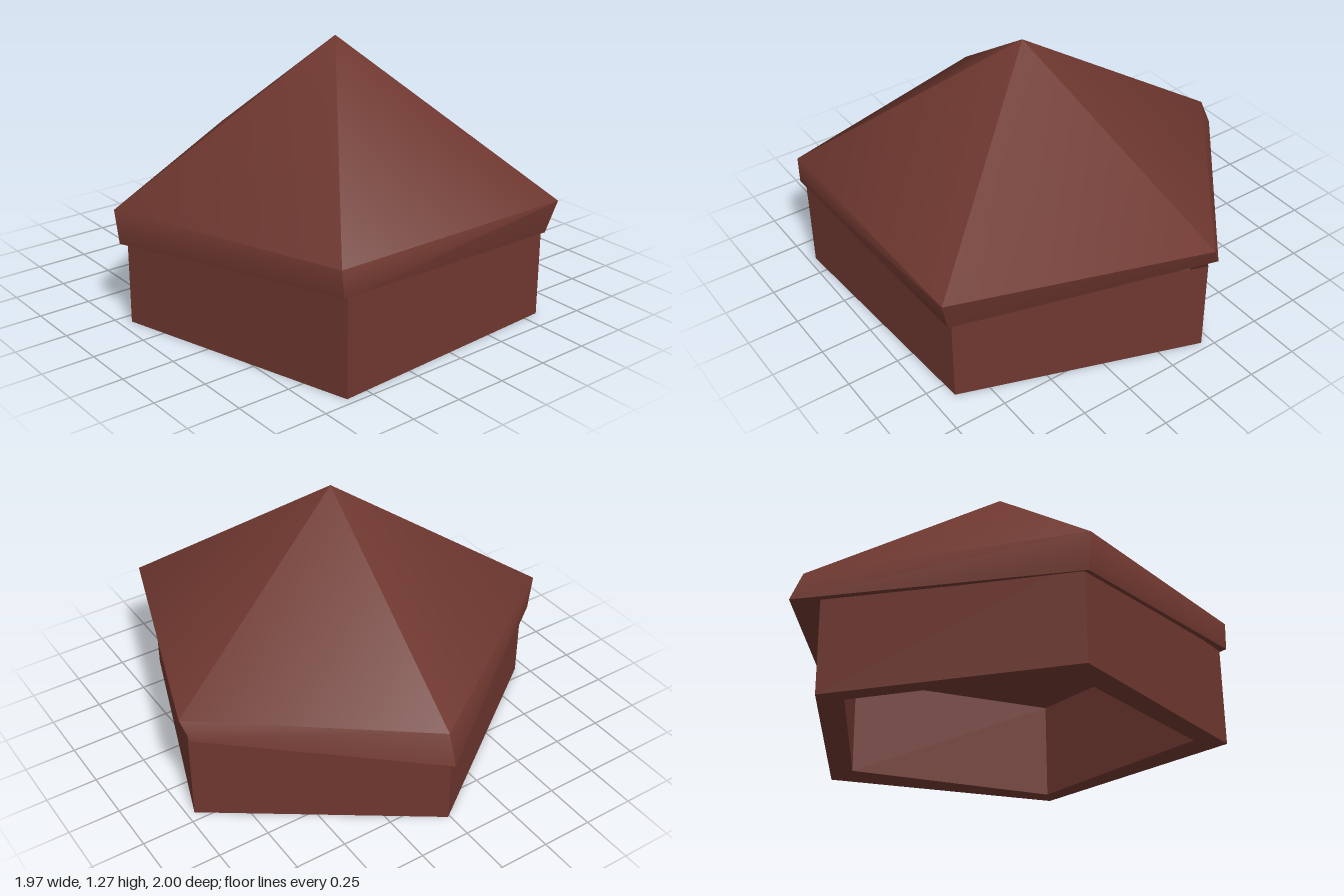
import * as THREE from 'three';
import { toCreasedNormals } from 'three/addons/utils/BufferGeometryUtils.js';

const material = new THREE.MeshStandardMaterial({ color: 0x6e372f, side: THREE.DoubleSide });

// Joins rings of corners, listed from the inside/bottom outwards/up; soft below the crease angle.
function loft(name, rings) {
  const pos = [];
  const tri = (...pts) => {
    if (new Set(pts).size === 3) pts.forEach((p) => pos.push(...p));
  };
  for (let r = 0; r < rings.length - 1; r++) {
    const lower = rings[r], upper = rings[r + 1], n = lower.length;
    for (let i = 0; i < n; i++) {
      const j = (i + 1) % n;
      tri(lower[j], lower[i], upper[i]);
      tri(lower[j], upper[i], upper[j]);
    }
  }
  const geometry = new THREE.BufferGeometry();
  geometry.setAttribute('position', new THREE.Float32BufferAttribute(pos, 3));
  const mesh = new THREE.Mesh(toCreasedNormals(geometry, 1.1), material);
  mesh.name = name;
  return mesh;
}

const repeat = (p) => Array(5).fill(p);
const ringAt = (plan, y) => plan.map(([x, z]) => [x, y, z]);

export function createModel() {
  const group = new THREE.Group();
  group.name = 'pentagonHut';

  // Wall plans: back, right back, right front, front, left
  const outer = [[-0.2, -0.965], [0.9, -0.58], [0.965, 0.61], [-0.19, 0.945], [-0.87, -0.01]];
  const inner = [[-0.17, -0.82], [0.85, -0.54], [0.84, 0.52], [-0.16, 0.79], [-0.72, -0.02]];

  // Hollow walls, open below, with a ceiling
  group.add(loft('walls', [
    repeat([0, 0.5, 0]),
    ringAt(inner, 0.5),
    ringAt(inner, 0.02),
    ringAt(outer, 0.005),
    ringAt(outer, 0.47),
  ]));

  // Five-sided roof with a deep, uneven eave
  const soffit = [[-0.2, 0.49, -0.93], [0.86, 0.42, -0.55], [0.93, 0.48, 0.59], [-0.19, 0.42, 0.91], [-0.84, 0.45, -0.02]];
  const eaveBottom = [[-0.25, 0.48, -0.975], [0.92, 0.42, -0.585], [0.98, 0.475, 0.64], [-0.2, 0.4, 0.98], [-0.985, 0.44, -0.08]];
  const eaveTop = [[-0.2, 0.575, -1], [0.96, 0.58, -0.615], [0.975, 0.6, 0.65], [-0.2, 0.57, 1], [-0.925, 0.58, -0.075]];
  group.add(loft('roof', [soffit, eaveBottom, eaveTop, repeat([0.12, 1.275, 0])]));

  return group;
}
